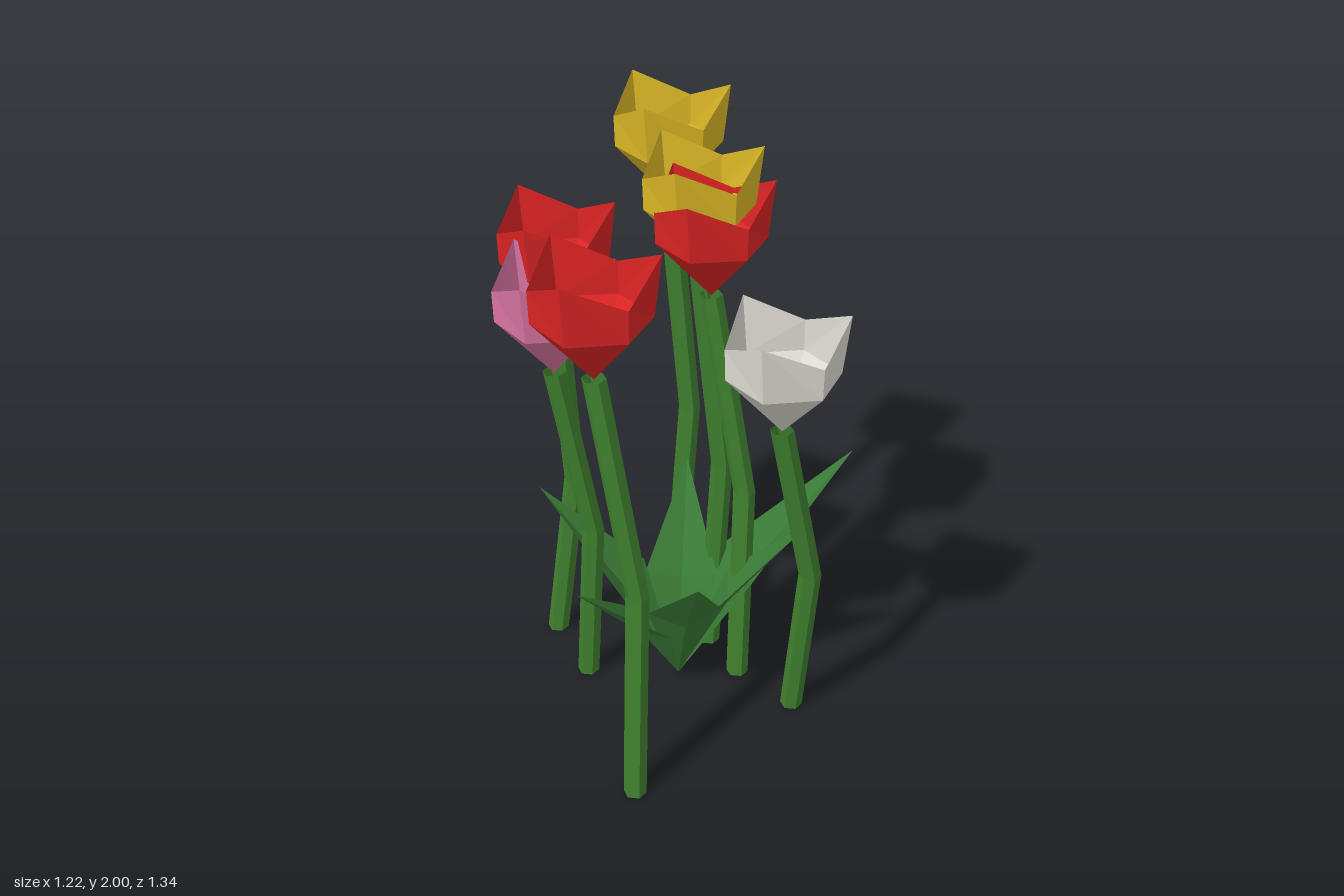
import * as THREE from 'three';

const mat = (name, color, flat = true) => {
  const m = new THREE.MeshStandardMaterial({ color, flatShading: flat, side: THREE.DoubleSide });
  m.name = name;
  return m;
};

// Geometry from a point list and triangle indices
function facets(points, faces) {
  const g = new THREE.BufferGeometry();
  g.setAttribute('position', new THREE.Float32BufferAttribute(points.flat(), 3));
  g.setIndex(faces.flat());
  const flat = g.toNonIndexed();
  flat.computeVertexNormals();
  return flat;
}

// Open six-sided cup: pointed base, ring, then a rim of three tall and three low tips
function cupGeometry() {
  const pts = [[0, 0, 0]], faces = [];
  const ring = (radius, height) => {
    for (let i = 0; i < 6; i++) {
      const a = i * Math.PI / 3, r = radius(i);
      pts.push([r * Math.cos(a), height(i), r * Math.sin(a)]);
    }
  };
  ring(() => 0.18, () => 0.195);
  ring(i => (i % 2 ? 0.183 : 0.203), i => (i % 2 ? 0.3 : 0.39));
  for (let i = 0; i < 6; i++) {
    const a = 1 + i, b = 1 + (i + 1) % 6;
    faces.push([0, a, b], [a, a + 6, b + 6], [a, b + 6, b]);
  }
  return facets(pts, faces);
}

// Six-sided stem with one bend, closed at the foot
function stemGeometry(path) {
  const pts = [], faces = [], n = 6, r = 0.038;
  for (const [x, y, z] of path)
    for (let i = 0; i < n; i++) {
      const a = (i + 0.25) * 2 * Math.PI / n;
      pts.push([x + r * Math.cos(a), y, z + r * Math.sin(a)]);
    }
  for (let k = 0; k < path.length - 1; k++)
    for (let i = 0; i < n; i++) {
      const a = k * n + i, b = k * n + (i + 1) % n;
      faces.push([a, a + n, b], [b, a + n, b + n]);
    }
  for (let i = 1; i < n - 1; i++) faces.push([0, i, i + 1]);
  return facets(pts, faces);
}

// Folded diamond blade from a shared root to its tip
function leafGeometry(root, tip) {
  const dx = tip[0] - root[0], dz = tip[2] - root[2];
  const len = Math.hypot(dx, dz), w = 0.125;
  const sx = -dz / len * w, sz = dx / len * w;
  const mx = root[0] + dx * 0.32, mz = root[2] + dz * 0.32;
  const rib = [root[0] + dx * 0.38, tip[1] * 0.48, root[2] + dz * 0.38];
  const y = tip[1] * 0.54;
  return facets(
    [root, [mx + sx, y, mz + sz], rib, [mx - sx, y, mz - sz], tip],
    [[0, 1, 2], [0, 2, 3], [1, 4, 2], [2, 4, 3]]
  );
}

export function createModel() {
  const model = new THREE.Group();
  model.name = 'tulipCluster';

  const stemGreen = mat('stemGreen', 0x3f812f);
  const leafGreen = mat('leafGreen', 0x3a7a35);
  const red = mat('redPetal', 0xdc2424);
  const yellow = mat('yellowPetal', 0xdcb826);
  const pink = mat('pinkPetal', 0xdb76a4);
  const white = mat('whitePetal', 0xdedbd2);

  // Flowers: petal colour, head base, stem bend (x, z), stem foot (x, z)
  const flowers = [
    [yellow, [0.005, 1.61, -0.495], [0.07, -0.47], [0.01, -0.45]],
    [yellow, [0.06, 1.54, -0.14], [0.14, -0.14], [0.1, -0.145]],
    [red, [0.09, 1.45, -0.08], [0.2, -0.02], [0.175, 0.05]],
    [red, [-0.4, 1.32, -0.265], [-0.36, -0.275], [-0.44, -0.29]],
    [pink, [-0.43, 1.27, 0.04], [-0.32, 0.01], [-0.35, -0.025]],
    [red, [-0.335, 1.5, 0.495], [-0.225, 0.555], [-0.25, 0.625]],
    [white, [0.25, 1.2, 0.37], [0.37, 0.31], [0.335, 0.25]],
  ];
  const cup = cupGeometry();
  for (const [petal, top, bend, foot] of flowers) {
    const flower = new THREE.Group();
    flower.name = 'tulip';
    const head = new THREE.Mesh(cup, petal);
    head.name = 'flowerHead';
    head.position.set(...top);
    const stem = new THREE.Mesh(stemGeometry([
      [foot[0], 0.005, foot[1]], [bend[0], top[1] / 2, bend[1]], [top[0], top[1] + 0.005, top[2]],
    ]), stemGreen);
    stem.name = 'stem';
    flower.add(head, stem);
    model.add(flower);
  }

  // Leaves fan out of one root
  const root = [-0.035, 0.01, 0.04];
  const tips = [
    [0.61, 0.75, -0.19], [0.4, 0.73, 0.19], [-0.035, 0.76, 0.57],
    [-0.4, 0.57, 0.29], [-0.49, 0.72, -0.14], [0.05, 0.65, -0.375],
  ];
  for (const tip of tips) {
    const leaf = new THREE.Mesh(leafGeometry(root, tip), leafGreen);
    leaf.name = 'leaf';
    model.add(leaf);
  }
  return model;
}
